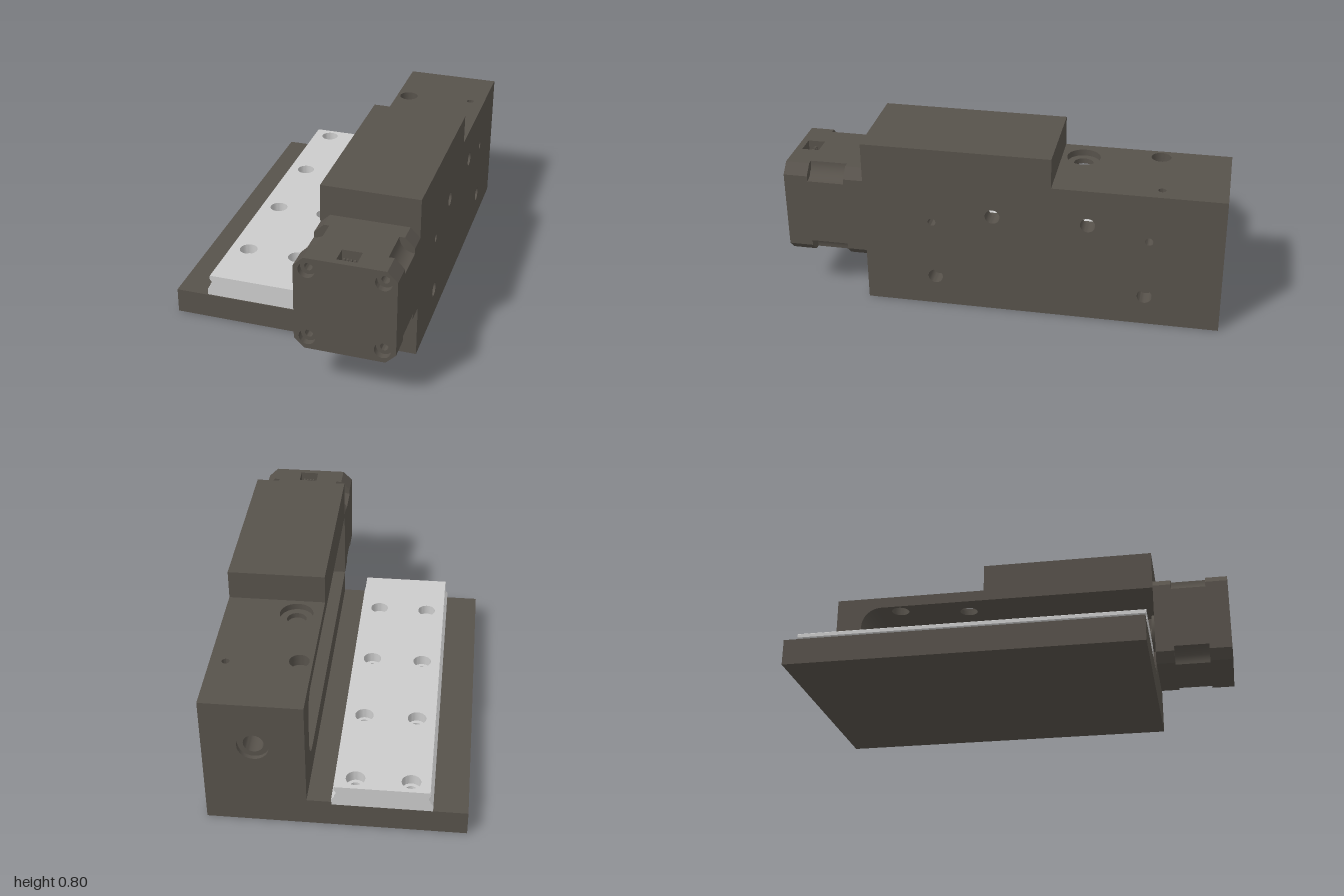
import * as THREE from 'three';
import { toCreasedNormals } from 'three/addons/utils/BufferGeometryUtils.js';

const dark = new THREE.MeshStandardMaterial({ color: 0x57524b });
const grey = new THREE.MeshStandardMaterial({ color: 0xcccccc });

// Outline from points, with round holes given as [x, y, radius]
function outline(points, holes = []) {
  const shape = new THREE.Shape(points.map(([x, y]) => new THREE.Vector2(x, y)));
  for (const [x, y, r] of holes) {
    const path = new THREE.Path();
    path.absarc(x, y, r, 0, Math.PI * 2, true);
    shape.holes.push(path);
  }
  return shape;
}
const rect = (x0, y0, x1, y1, holes) => outline([[x0, y0], [x1, y0], [x1, y1], [x0, y1]], holes);

// Extrudes a shape from a to b; along x the shape is (-z, y), along y it is (x, -z)
function slab(parent, name, shape, axis, a, b, material = dark) {
  let geo = new THREE.ExtrudeGeometry(shape, { depth: b - a, bevelEnabled: false, curveSegments: 16 });
  geo.translate(0, 0, a);
  if (axis === 'x') geo.rotateY(Math.PI / 2);
  if (axis === 'y') geo.rotateX(-Math.PI / 2);
  geo = toCreasedNormals(geo, 0.6);
  const mesh = new THREE.Mesh(geo, material);
  mesh.name = name;
  parent.add(mesh);
}

function group(parent, name) {
  const g = new THREE.Group();
  g.name = name;
  parent.add(g);
  return g;
}

const BACK = -1, FRONT = 0.63;

function addHousing(model) {
  const g = group(model, 'housing');
  slab(g, 'basePlate', rect(-0.58, -FRONT, 0.5, 1), 'y', 0, 0.12);
  slab(g, 'railShoulder', rect(0.02, -FRONT, 0.13, 1), 'y', 0.12, 0.135);
  slab(g, 'pocketFloor', rect(0.13, -FRONT, 0.5, 1, [[0.25, 0.33, 0.045]]), 'y', 0.12, 0.25);

  // Outer wall with cross holes and blind lower holes
  slab(g, 'outerWall', rect(-FRONT, 0, 1, 0.6, [
    [-0.035, 0.485, 0.034], [0.395, 0.485, 0.034],
    [-0.315, 0.43, 0.018], [0.67, 0.43, 0.018],
    [-0.305, 0.145, 0.034], [0.66, 0.145, 0.034],
  ]), 'x', 0.5, 0.58);

  // Rear wall with a stepped bore
  slab(g, 'rearWall', rect(0.13, 0.25, 0.5, 0.6, [[0.355, 0.43, 0.045]]), 'z', BACK + 0.02, -0.87);
  slab(g, 'rearWallFace', rect(0.13, 0.25, 0.5, 0.6, [[0.355, 0.43, 0.07]]), 'z', BACK, BACK + 0.02);

  // Rounded rear corners of the pocket
  for (const [y, s] of [[0.25, 1], [0.6, -1]]) {
    const pts = [[0.87, y]];
    for (let i = 0; i <= 10; i++) {
      const a = (i / 10) * Math.PI / 2;
      pts.push([0.77 + 0.1 * Math.sin(a), y + s * 0.1 * (1 - Math.cos(a))]);
    }
    slab(g, 'pocketFillet', outline(pts), 'x', 0.13, 0.5);
  }

  // Roof with a counterbored access hole, and the raised block in front
  const small = [[0.19, 0.68, 0.045], [0.51, 0.71, 0.017]];
  slab(g, 'roofLower', rect(0.13, 0.23, 0.58, 1, [[0.25, 0.33, 0.045], ...small]), 'y', 0.6, 0.625);
  slab(g, 'roofUpper', rect(0.13, 0.23, 0.58, 1, [[0.25, 0.33, 0.077], ...small]), 'y', 0.625, 0.655);
  slab(g, 'raisedBlock', rect(0.13, -FRONT, 0.58, 0.23), 'y', 0.6, 0.795);
}

function addRail(model) {
  const g = group(model, 'guideRail');
  const bores = (r) => [-0.325, -0.08].flatMap((x) =>
    [-0.935, -0.51, -0.08, 0.35].map((z) => [x, -z, r]));
  slab(g, 'railCore', rect(-0.4, -0.625, -0.005, 1, bores(0.026)), 'y', 0.12, 0.175, grey);
  slab(g, 'railTop', rect(-0.4, -0.625, -0.005, 1, bores(0.043)), 'y', 0.175, 0.225, grey);
  // Grooved flanks, mirrored about the rail centre
  const half = [[0.1975, 0.12], [0.2235, 0.12], [0.2235, 0.152], [0.21, 0.168], [0.21, 0.178],
    [0.2035, 0.186], [0.2035, 0.195], [0.212, 0.206], [0.212, 0.222], [0.209, 0.225], [0.1975, 0.225]];
  for (const s of [-1, 1]) {
    slab(g, 'railFlank', outline(half.map(([x, y]) => [-0.2025 + s * x, y])), 'z', BACK, 0.625, grey);
  }
}

function addMotor(model) {
  const g = group(model, 'motor');
  const cx = 0.355, cy = 0.43, h = 0.225;
  // Square section with chamfered or scooped corners, optionally a notch in the top
  const section = (cut, scooped, notch, r) => {
    const pts = [];
    for (let k = 0; k < 4; k++) {
      const q = k * Math.PI / 2, c = Math.cos(q), s = Math.sin(q);
      const put = (x, y) => pts.push([cx + x * c - y * s, cy + x * s + y * c]);
      if (notch && k === 1) {
        put(h, -0.045); put(h - 0.05, -0.045); put(h - 0.05, 0.045); put(h, 0.045);
      }
      const n = scooped ? 8 : 1;
      for (let i = 0; i <= n; i++) {
        const a = (i / n) * Math.PI / 2;
        put(h - cut * Math.sin(a), h - cut * Math.cos(a));
      }
    }
    const holes = r ? [-1, 1].flatMap((sx) => [-1, 1].map((sy) =>
      [cx + sx * 0.166, cy + sy * 0.167, r])) : [];
    return outline(pts, holes);
  };
  slab(g, 'motorRearFlange', section(0.045, false, false, 0), 'z', FRONT, 0.72);
  slab(g, 'motorBody', section(0.07, true, false, 0), 'z', 0.72, 0.89);
  slab(g, 'motorSocketSection', section(0.045, false, true, 0.018), 'z', 0.89, 0.97);
  slab(g, 'motorFrontCover', section(0.045, false, false, 0.037), 'z', 0.97, 1);

  // Connector pins inside the socket
  for (let i = 0; i < 4; i++) {
    const pin = new THREE.Mesh(new THREE.BoxGeometry(0.008, 0.035, 0.012), dark);
    pin.position.set(cx - 0.024 + i * 0.016, 0.62, 0.93);
    pin.name = 'connectorPin';
    g.add(pin);
  }

  // Pilot ring and shaft facing into the pocket
  const ring = rect(0, 0, 0, 0);
  ring.curves.length = 0;
  ring.absarc(cx, cy, 0.11, 0, Math.PI * 2);
  const bore = new THREE.Path();
  bore.absarc(cx, cy, 0.085, 0, Math.PI * 2, true);
  ring.holes.push(bore);
  slab(g, 'pilotRing', ring, 'z', 0.61, FRONT);
  const shaft = new THREE.Mesh(new THREE.CylinderGeometry(0.04, 0.04, 0.04, 32), dark);
  shaft.rotation.x = Math.PI / 2;
  shaft.position.set(cx, cy, 0.61);
  shaft.name = 'motorShaft';
  g.add(shaft);
}

export function createModel() {
  const model = new THREE.Group();
  model.name = 'linearStage';
  addHousing(model);
  addRail(model);
  addMotor(model);
  return model;
}
